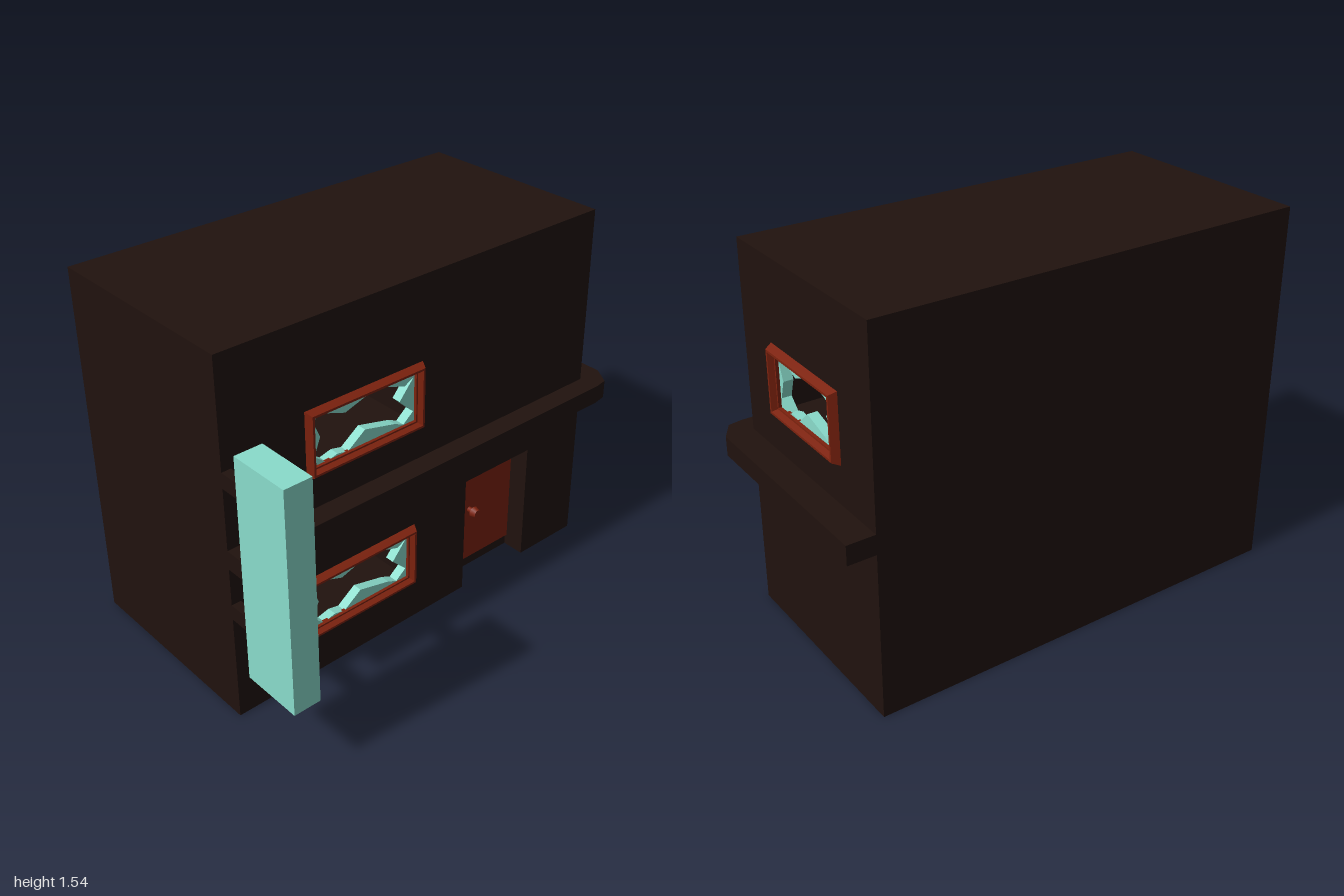
import * as THREE from 'three';

const X0 = -0.96, X1 = 0.885, Z0 = -0.65, Z1 = 0.25, H = 1.54;
const DOOR = { x0: 0.21, x1: 0.575, top: 0.54, depth: 0.1 };

const wallMat = new THREE.MeshStandardMaterial({ color: 0x20120e });
const trimMat = new THREE.MeshStandardMaterial({ color: 0x7d220e });
const glassMat = new THREE.MeshStandardMaterial({ color: 0x8adccc });

function add(parent, name, geometry, material, x = 0, y = 0, z = 0) {
  const mesh = new THREE.Mesh(geometry, material);
  mesh.name = name;
  mesh.position.set(x, y, z);
  parent.add(mesh);
  return mesh;
}

const polygon = (pts) => new THREE.Shape(pts.map(([x, y]) => new THREE.Vector2(x, y)));
const rectPoints = (cx, cy, w, h) => [
  [cx - w / 2, cy - h / 2], [cx + w / 2, cy - h / 2], [cx + w / 2, cy + h / 2], [cx - w / 2, cy + h / 2],
];

// box between two corners
function block(parent, name, mat, a, b) {
  const s = b.map((v, i) => v - a[i]);
  return add(parent, name, new THREE.BoxGeometry(...s), mat, ...a.map((v, i) => v + s[i] / 2));
}

// inward-facing niche behind z = 0, open at the front and optionally at the floor
function niche(w, h, d, openFloor) {
  const box = new THREE.BoxGeometry(w, h, d).translate(0, 0, -d / 2);
  const src = Array.from(box.index.array);
  const idx = [];
  for (let face = 0; face < 6; face++) {
    if (face === 4 || (face === 3 && openFloor)) continue;
    for (let k = 0; k < 6; k += 3) {
      const o = face * 6 + k;
      idx.push(src[o], src[o + 2], src[o + 1]);
    }
  }
  box.setIndex(idx);
  box.clearGroups();
  const flat = box.toNonIndexed();
  flat.computeVertexNormals();
  return flat;
}

// mitred moulding: rectangular rings of [inset, z] joined in a loop
function frameGeometry(w, h) {
  const profile = [[0, 0], [0.013, 0.03], [0.022, 0.03], [0.03, 0.008], [0.037, 0.008], [0.037, -0.015]];
  const pos = [], idx = [];
  profile.forEach(([inset, z]) => {
    rectPoints(0, 0, w - 2 * inset, h - 2 * inset).forEach(([x, y]) => pos.push(x, y, z));
  });
  for (let i = 0; i < profile.length - 1; i++) {
    for (let j = 0; j < 4; j++) {
      const k = (j + 1) % 4;
      const a = i * 4 + j, b = i * 4 + k, c = b + 4, d = a + 4;
      idx.push(a, b, c, a, c, d);
    }
  }
  let g = new THREE.BufferGeometry();
  g.setAttribute('position', new THREE.Float32BufferAttribute(pos, 3));
  g.setIndex(idx);
  g = g.toNonIndexed();
  g.computeVertexNormals();
  return g;
}

// jagged hole in the glass, as fractions of the opening
const BREAK = [
  [0.06, 0.98], [0.31, 0.78], [0.62, 0.99], [0.9, 0.78], [0.99, 0.88], [0.85, 0.52], [0.99, 0.22],
  [0.89, 0.04], [0.8, 0.13], [0.5, 0.29], [0.33, 0.02], [0.23, 0.07], [0.12, 0.01], [0.01, 0.2],
  [0.07, 0.54], [0.01, 0.84],
];

function brokenWindow(name, w, h) {
  const g = new THREE.Group();
  g.name = name;
  const ow = w - 0.074, oh = h - 0.06;
  add(g, 'windowFrame', frameGeometry(w, h), trimMat);
  const pane = polygon(rectPoints(0, 0, ow + 0.01, oh + 0.01));
  pane.holes.push(polygon(BREAK.map(([u, v]) => [(u - 0.5) * ow, (v - 0.5) * oh])));
  add(g, 'brokenGlass', new THREE.ExtrudeGeometry(pane, { depth: 0.04, bevelEnabled: false }), glassMat, 0, 0, -0.045);
  add(g, 'windowNiche', niche(ow + 0.01, oh + 0.01, 0.37), wallMat);
  return g;
}

// flat wall with window openings
function wallGeometry(outline, windows) {
  const shape = polygon(outline);
  windows.forEach(([x, y, w, h]) => shape.holes.push(polygon(rectPoints(x, y, w - 0.064, h - 0.05))));
  return new THREE.ShapeGeometry(shape);
}

export function createModel() {
  const model = new THREE.Group();
  model.name = 'building';

  // front wall with the doorway notch, and left wall
  const frontWindows = [[-0.323, 1.05, 0.56, 0.28], [-0.355, 0.325, 0.56, 0.28]];
  const sideWindows = [[0.2, 1.07, 0.47, 0.28]];
  const front = new THREE.Group();
  front.name = 'front';
  front.position.z = Z1;
  const side = new THREE.Group();
  side.name = 'leftSide';
  side.position.x = X1;
  side.rotation.y = Math.PI / 2;
  model.add(front, side);
  const { x0, x1, top, depth } = DOOR;
  add(front, 'frontWall', wallGeometry(
    [[X0, 0], [x0, 0], [x0, top], [x1, top], [x1, 0], [X1, 0], [X1, H], [X0, H]], frontWindows), wallMat);
  add(side, 'leftWall', wallGeometry([[-Z1, 0], [-Z0, 0], [-Z0, H], [-Z1, H]], sideWindows), wallMat);
  for (const [parent, list] of [[front, frontWindows], [side, sideWindows]]) {
    list.forEach(([x, y, w, h]) => {
      const win = brokenWindow('window', w, h);
      win.position.set(x, y, 0);
      parent.add(win);
    });
  }

  // plain back, right wall, roof and floor
  const cx = (X0 + X1) / 2, cz = (Z0 + Z1) / 2, W = X1 - X0, D = Z1 - Z0;
  add(model, 'backWall', new THREE.PlaneGeometry(W, H), wallMat, cx, H / 2, Z0).rotation.y = Math.PI;
  add(model, 'rightWall', new THREE.PlaneGeometry(D, H), wallMat, X0, H / 2, cz).rotation.y = -Math.PI / 2;
  add(model, 'roof', new THREE.PlaneGeometry(W, D), wallMat, cx, H, cz).rotation.x = -Math.PI / 2;
  const zi = Z1 - depth;
  add(model, 'floor', new THREE.ShapeGeometry(polygon(
    [[X0, Z0], [X1, Z0], [X1, Z1], [x1, Z1], [x1, zi], [x0, zi], [x0, Z1], [X0, Z1]])), wallMat).rotation.x = Math.PI / 2;

  // recessed door with knob
  add(model, 'doorway', niche(x1 - x0, top, depth, true), wallMat, (x0 + x1) / 2, top / 2, Z1);
  block(model, 'door', trimMat, [0.28, 0.05, zi], [x1, 0.53, zi + 0.01]);
  const stem = new THREE.CylinderGeometry(0.012, 0.012, 0.04, 10).rotateX(Math.PI / 2);
  add(model, 'knobStem', stem, trimMat, 0.327, 0.305, zi + 0.025);
  const knob = new THREE.CylinderGeometry(0.018, 0.025, 0.025, 10).rotateX(Math.PI / 2);
  add(model, 'doorKnob', knob, trimMat, 0.327, 0.305, zi + 0.05);

  // ledge wrapping the front and left side
  const ledge = polygon([[X0, -Z1], [X0, -0.34], [0.89, -0.34], [0.95, -0.33], [1, -0.25], [1, -Z0], [X1, -Z0], [X1, -Z1]]);
  add(model, 'ledge', new THREE.ExtrudeGeometry(ledge, { depth: 0.08, bevelEnabled: false }),
    wallMat, 0, 0.69, 0).rotation.x = -Math.PI / 2;

  // hanging sign on two brackets
  block(model, 'sign', glassMat, [-1, 0.31, 0.39], [-0.885, 1.245, 0.65]);
  for (const y of [0.465, 1.03]) block(model, 'signBracket', wallMat, [X0, y, Z1 - 0.01], [-0.92, y + 0.065, 0.4]);

  return model;
}
